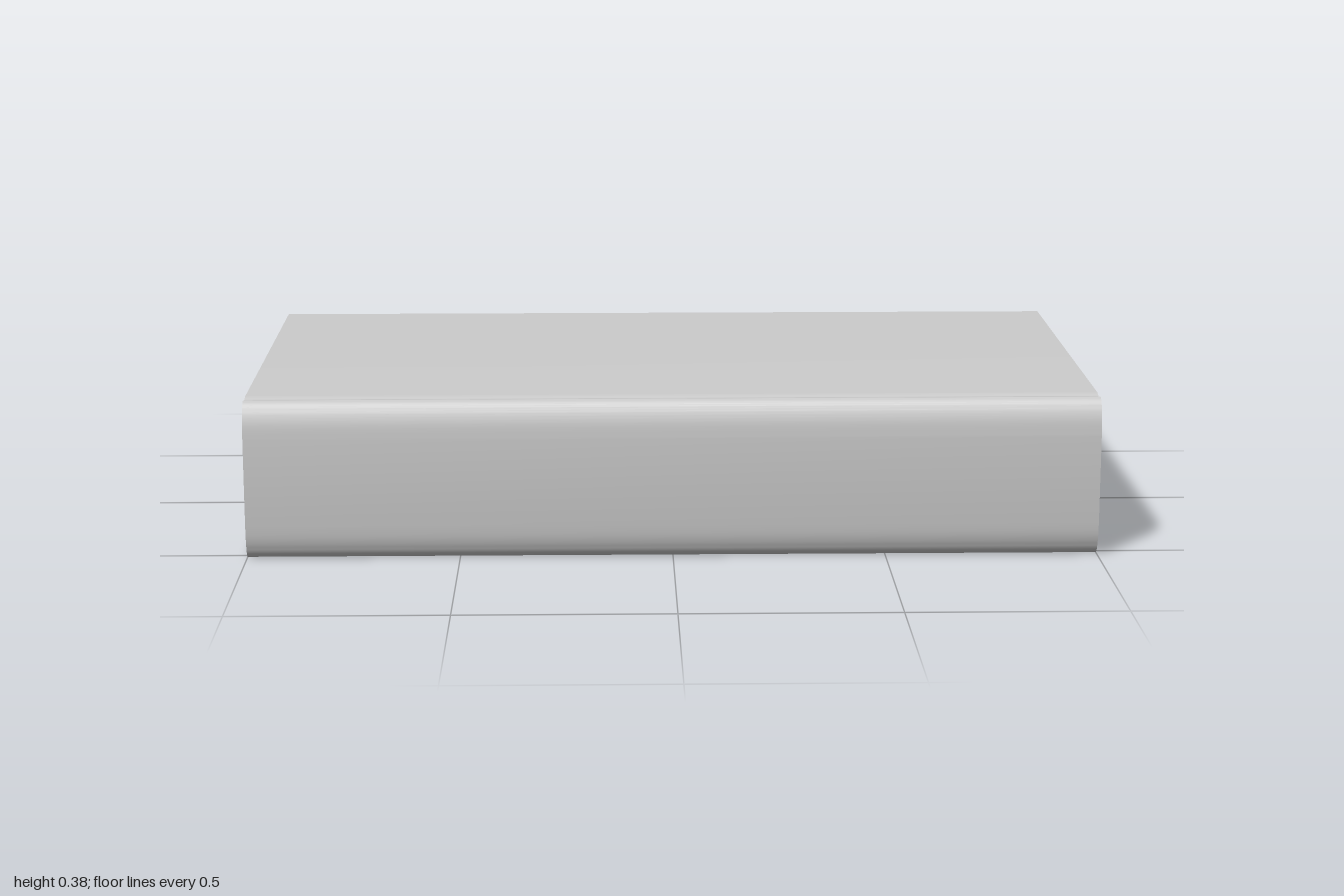
import * as THREE from 'three';
import { toCreasedNormals } from 'three/addons/utils/BufferGeometryUtils.js';

const MID = 0.188; // half of the book's thickness

// Smooth curve through [z, height above the middle] points
const smooth = (pts, n = 24) =>
  new THREE.SplineCurve(pts.map(([z, h]) => new THREE.Vector2(z, h))).getPoints(n).map(p => [p.x, p.y]);

// Adds the mirrored lower half, running back from the last point
const mirrored = half => [...half, ...half.map(([z, h]) => [z, -h]).reverse()];

// Extrudes a closed [z, h] cross-section along x
function bar(name, outline, length, material) {
  const shape = new THREE.Shape(outline.map(([z, h]) => new THREE.Vector2(-z, MID + h)));
  const geometry = new THREE.ExtrudeGeometry(shape, { depth: length, bevelEnabled: false });
  geometry.translate(0, 0, -length / 2).rotateY(Math.PI / 2);
  const mesh = new THREE.Mesh(toCreasedNormals(geometry, 0.6), material);
  mesh.name = name;
  return mesh;
}

export function createModel() {
  const group = new THREE.Group();
  group.name = 'book';
  const material = new THREE.MeshStandardMaterial({ color: 0xcccccc });

  // Cover: boards, hinge groove and rounded spine in one folded sheet
  const outer = mirrored([
    [-0.545, 0.188],
    ...smooth([[0.455, 0.188], [0.468, 0.187], [0.483, 0.183], [0.498, 0.186], [0.515, 0.187],
      [0.53, 0.172], [0.541, 0.14], [0.545, 0.1]], 32),
  ]);
  const inner = mirrored([
    [-0.545, 0.172],
    ...smooth([[0.455, 0.172], [0.468, 0.171], [0.483, 0.167], [0.495, 0.169], [0.507, 0.169],
      [0.518, 0.155], [0.526, 0.13], [0.53, 0.1]], 32),
  ]);
  group.add(bar('cover', [...outer, ...inner.reverse()], 2, material));

  // Page block: rounded at the spine, hollow at the fore edge
  const pages = mirrored([
    ...smooth([[-0.52, 0.09], [-0.522, 0.12], [-0.527, 0.15], [-0.534, 0.172]], 12),
    ...smooth([[0.455, 0.172], [0.483, 0.167], [0.503, 0.163], [0.514, 0.148], [0.522, 0.125], [0.525, 0.1]]),
  ]);
  group.add(bar('pages', pages, 1.96, material));

  return group;
}
